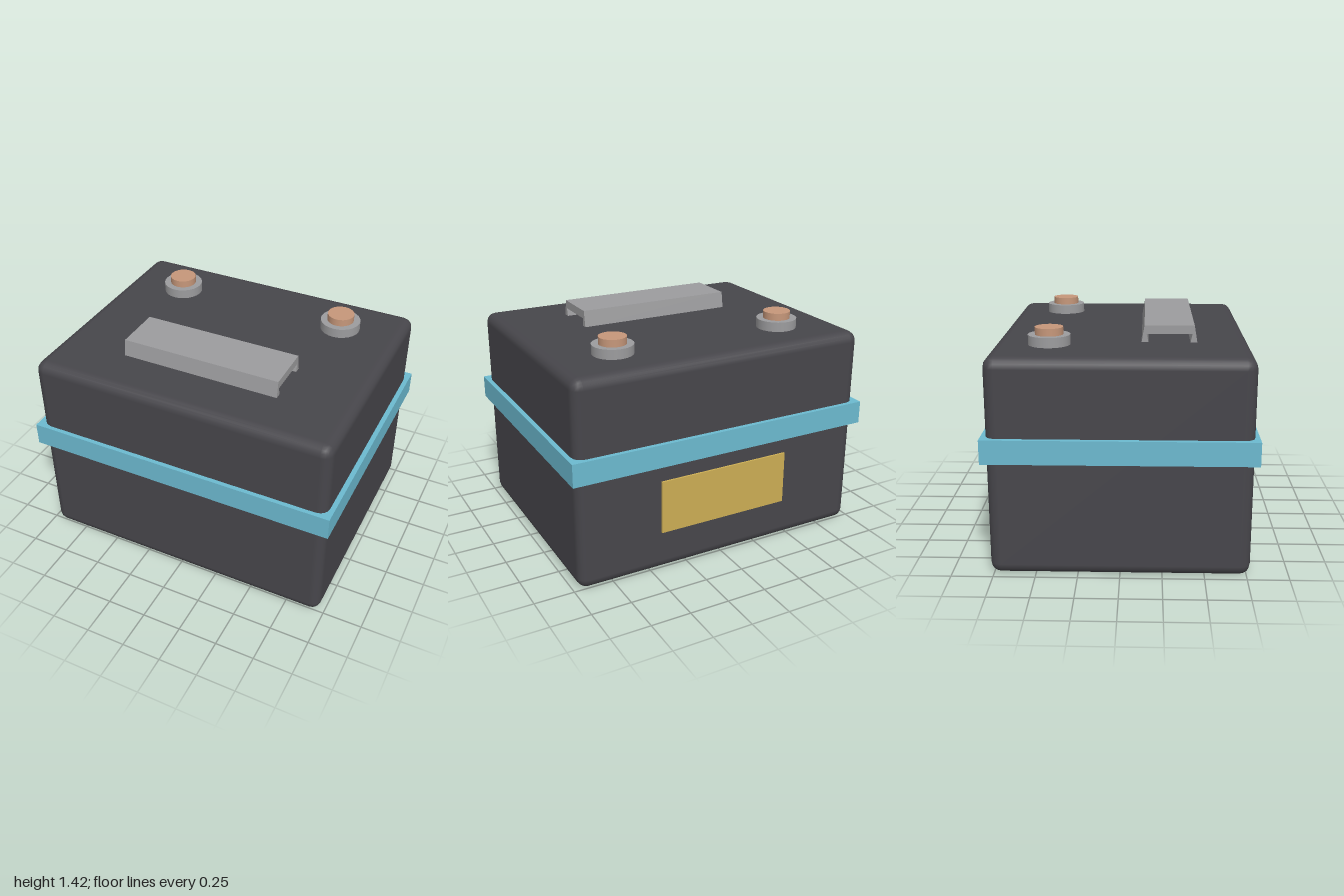
import * as THREE from 'three';
import { RoundedBoxGeometry } from 'three/addons/geometries/RoundedBoxGeometry.js';

const material = (name, color) => {
  const m = new THREE.MeshStandardMaterial({ color });
  m.name = name;
  return m;
};

export function createModel() {
  const casing = material('dark casing', 0x47464b);
  const blue = material('blue band', 0x6cbad0);
  const metal = material('grey metal', 0x9c9c9e);
  const copper = material('copper', 0xc6977a);
  const yellow = material('yellow label', 0xccae54);

  const model = new THREE.Group();
  model.name = 'battery';
  const add = (name, geometry, mat, x, y, z, parent = model) => {
    const mesh = new THREE.Mesh(geometry, mat);
    mesh.name = name;
    mesh.position.set(x, y, z);
    parent.add(mesh);
    return mesh;
  };

  // Casing with softened edges and the band around it
  add('casing', new RoundedBoxGeometry(1.94, 1.315, 1.545, 2, 0.065), casing, 0, 0.6575, 0);
  add('band', new THREE.BoxGeometry(2, 0.145, 1.6), blue, 0, 0.775, 0);

  // Label plate on the back
  add('label', new THREE.BoxGeometry(0.87, 0.34, 0.03), yellow, 0, 0.43, -0.77);

  // Terminals: a wide collar with a copper post
  for (const side of [1, -1]) {
    const terminal = new THREE.Group();
    terminal.name = side > 0 ? 'leftTerminal' : 'rightTerminal';
    terminal.position.set(side * 0.572, 1.3, -0.43);
    model.add(terminal);
    add('collar', new THREE.CylinderGeometry(0.127, 0.127, 0.075, 24), metal, 0, 0.0375, 0, terminal);
    add('post', new THREE.CylinderGeometry(0.085, 0.085, 0.06, 24), copper, 0, 0.09, 0, terminal);
  }

  // Carrying handle: bridge profile (half width, height) extruded sideways
  const half = [[0.168, 0], [0.15, 0.107], [0.137, 0.055], [0.125, 0]];
  const [foot, top, innerTop, innerFoot] = half;
  const flip = ([u, v]) => [-u, v];
  const outline = [foot, top, flip(top), flip(foot), flip(innerFoot), flip(innerTop), innerTop, innerFoot];
  const profile = new THREE.Shape(outline.map(([u, v]) => new THREE.Vector2(u, v)));
  const handle = new THREE.ExtrudeGeometry(profile, { depth: 1.02, bevelEnabled: false });
  handle.translate(0, 0, -0.51).rotateY(Math.PI / 2);
  add('handle', handle, metal, 0, 1.31, 0.285);

  return model;
}
